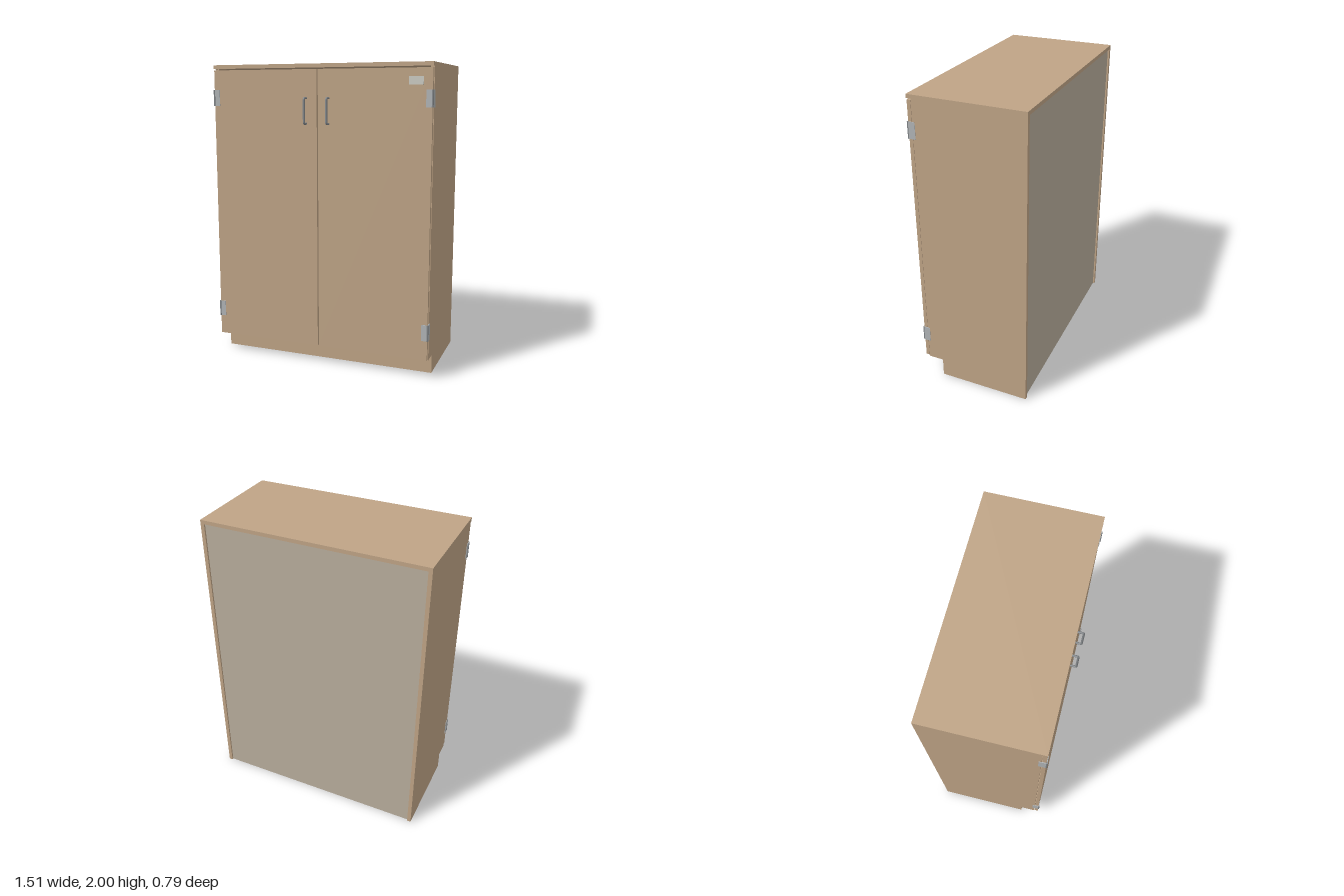
import * as THREE from 'three';

const wood = new THREE.MeshStandardMaterial({ color: 0xbfa486 });
const backing = new THREE.MeshStandardMaterial({ color: 0xb8ad9c });
const steel = new THREE.MeshStandardMaterial({ color: 0xb0b4b6 });
const darkSteel = new THREE.MeshStandardMaterial({ color: 0x85898c });
const plate = new THREE.MeshStandardMaterial({ color: 0xcbcbc2 });

// Box given by its minimum and maximum on each axis
function slab(name, [x0, x1], [y0, y1], [z0, z1], material = wood) {
  const mesh = new THREE.Mesh(new THREE.BoxGeometry(x1 - x0, y1 - y0, z1 - z0), material);
  mesh.position.set((x0 + x1) / 2, (y0 + y1) / 2, (z0 + z1) / 2);
  mesh.name = name;
  return mesh;
}

// Side panel with the toe-space notch cut from its lower front corner
function sidePanel(name, x0) {
  const shape = new THREE.Shape();
  [[-0.395, 0], [0.22, 0], [0.22, 0.125], [0.322, 0.125], [0.322, 1.975], [-0.395, 1.975]]
    .forEach(([z, y], i) => (i ? shape.lineTo(-z, y) : shape.moveTo(-z, y)));
  const geometry = new THREE.ExtrudeGeometry(shape, { depth: 0.025, bevelEnabled: false });
  geometry.rotateY(Math.PI / 2);
  const mesh = new THREE.Mesh(geometry, wood);
  mesh.position.x = x0;
  mesh.name = name;
  return mesh;
}

// Wire pull: a bent round rod with two short legs
function pull(name, x) {
  const p = (y, z) => new THREE.Vector3(x, y, z);
  const path = new THREE.CurvePath();
  path.add(new THREE.LineCurve3(p(1.622, 0.348), p(1.622, 0.376)));
  path.add(new THREE.QuadraticBezierCurve3(p(1.622, 0.376), p(1.622, 0.388), p(1.634, 0.388)));
  path.add(new THREE.LineCurve3(p(1.634, 0.388), p(1.772, 0.388)));
  path.add(new THREE.QuadraticBezierCurve3(p(1.772, 0.388), p(1.784, 0.388), p(1.784, 0.376)));
  path.add(new THREE.LineCurve3(p(1.784, 0.376), p(1.784, 0.348)));
  const mesh = new THREE.Mesh(new THREE.TubeGeometry(path, 80, 0.007, 12), darkSteel);
  mesh.name = name;
  return mesh;
}

// Wrap-around hinge: door leaf, side leaf and corner knuckle
function hinge(name, side, y0) {
  const group = new THREE.Group();
  group.name = name;
  const span = (a, b) => (side > 0 ? [a, b] : [-b, -a]);
  const y = [y0, y0 + 0.106];
  group.add(slab('doorLeaf', span(0.708, 0.748), y, [0.348, 0.354], steel));
  group.add(slab('sideLeaf', span(0.748, 0.753), y, [0.306, 0.35], steel));
  const knuckle = new THREE.Mesh(new THREE.CylinderGeometry(0.006, 0.006, 0.106, 12), darkSteel);
  knuckle.position.set(side * 0.748, y0 + 0.053, 0.352);
  knuckle.name = 'knuckle';
  group.add(knuckle);
  return group;
}

export function createModel() {
  const cabinet = new THREE.Group();
  cabinet.name = 'cabinet';

  // Carcass
  cabinet.add(sidePanel('leftSide', 0.725), sidePanel('rightSide', -0.75));
  cabinet.add(slab('top', [-0.75, 0.75], [1.975, 2], [-0.395, 0.352]));
  cabinet.add(slab('bottom', [-0.725, 0.725], [0.125, 0.15], [-0.372, 0.322]));
  cabinet.add(slab('toeKick', [-0.725, 0.725], [0, 0.125], [0.195, 0.22]));
  cabinet.add(slab('back', [-0.725, 0.725], [0, 1.975], [-0.384, -0.372], backing));

  // Doors with a narrow gap between them
  cabinet.add(slab('leftDoor', [0.004, 0.747], [0.132, 1.966], [0.326, 0.35]));
  cabinet.add(slab('rightDoor', [-0.747, -0.004], [0.132, 1.966], [0.326, 0.35]));

  // Hardware
  for (const [word, side] of [['left', 1], ['right', -1]]) {
    cabinet.add(pull(word + 'Handle', side * 0.077));
    cabinet.add(hinge(word + 'UpperHinge', side, 1.73));
    cabinet.add(hinge(word + 'LowerHinge', side, 0.262));
  }
  cabinet.add(slab('blankPlate', [0.6, 0.69], [1.866, 1.914], [0.349, 0.352], plate));

  return cabinet;
}
